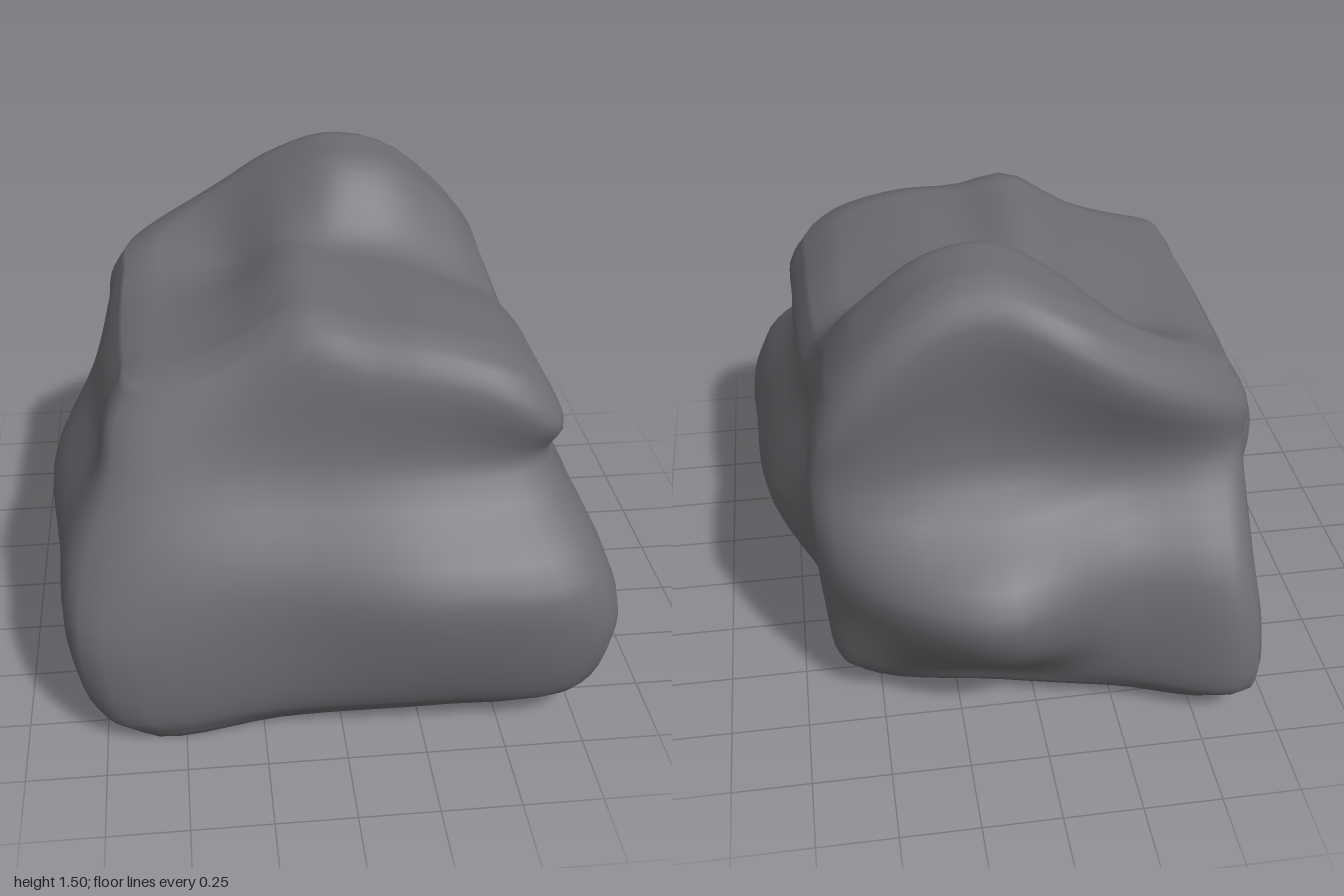
import * as THREE from 'three';
import { mergeVertices } from 'three/addons/utils/BufferGeometryUtils.js';

// Outlines as x,z pairs, running back-left corner > back > right > front > left
const BASE = [-.6, -.86, -.25, -.78, .1, -.7, .56, -.57, .56, -.32, .6, 0, .63, .45, .65, .82, .3, .85, -.2, .82, -.64, .82, -.72, .45, -.7, 0, -.63, -.42];
const FOOT = [-.67, -.94, -.25, -.82, .13, -.74, .62, -.62, .62, -.34, .72, 0, .78, .45, .77, .89, .3, .92, -.2, .88, -.75, .85, -.8, .45, -.77, 0, -.66, -.42];
const BELLY = [-.67, -.92, -.27, -.85, .15, -.95, .65, -.62, .67, -.36, .83, 0, .87, .4, .83, .92, .3, .98, -.18, .9, -.81, .84, -.87, .45, -.86, 0, -.71, -.42];
const LEDGE = [-.64, -.84, -.28, -.82, .17, -.99, .66, -.64, .68, -.36, .79, 0, .82, .4, .77, .9, .3, .97, -.16, .87, -.79, .76, -.87, .45, -.9, 0, -.73, -.42];
const WAIST = [-.65, -.62, -.25, -.64, .17, -.66, .67, -.6, .65, -.3, .69, 0, .69, .4, .64, .65, .3, .72, -.15, .69, -.69, .65, -.74, .4, -.77, 0, -.71, -.38];
const RIM = [-.67, -.59, -.2, -.72, .15, -.65, .64, -.62, .66, -.3, .69, 0, .7, .4, .67, .69, .3, .69, -.15, .61, -.67, .58, -.7, .35, -.71, 0, -.7, -.36];

// Height profiles across x (-0.7 to 0.7) of the front shelf and the back peak
const profile = (ys) => new THREE.SplineCurve(ys.map((y, i) => new THREE.Vector2(-.7 + i * .2, y)));
const shelf = profile([1.12, 1.14, 1.21, 1.33, 1.28, 1.26, 1.2, 1.1]);
const peak = profile([1.12, 1.2, 1.3, 1.42, 1.5, 1.46, 1.3, 1.1]);

const hollow = (x, z, cx, cz, r) => Math.exp(-((x - cx) ** 2 + (z - cz) ** 2) / (r * r));

function topHeight(x, z) {
  const u = THREE.MathUtils.clamp((x + .7) / 1.4, 0, 1);
  // the rise to the peak starts farther back on the left
  const start = .24 * (1 - THREE.MathUtils.smoothstep(x, -.4, .1));
  const s = THREE.MathUtils.smoothstep(-z, start, start + .35);
  const front = shelf.getPoint(u).y
    - .07 * hollow(x, z, -.25, -.2, .28) - .07 * hollow(x, z, .5, -.1, .25);
  return THREE.MathUtils.lerp(front, peak.getPoint(u).y, s);
}

// The front corner of the underside sags to the ground
function sag(x, y, z) {
  return y - .062 * hollow(x, z, -.6, .8, .55) * Math.max(0, 1 - (y - .06) / .5);
}

function loop(outline, count) {
  const pts = [];
  for (let i = 0; i < outline.length; i += 2) pts.push(new THREE.Vector3(outline[i], 0, outline[i + 1]));
  const curve = new THREE.CatmullRomCurve3(pts, true, 'centripetal');
  return Array.from({ length: count }, (_, i) => curve.getPoint(i / count));
}

function rockGeometry() {
  const N = 84, SIDE = 26;
  const levels = [[BASE, .06], [FOOT, .15], [BELLY, .38], [LEDGE, .58], [WAIST, .85]]
    .map(([o, y]) => loop(o, N).map((p) => p.setY(sag(p.x, y, p.z))));
  const rim = loop(RIM, N);
  const inset = (p, s, drop) => {
    const x = p.x * s, z = -.03 + (p.z + .03) * s;
    return new THREE.Vector3(x, topHeight(x, z) - drop, z);
  };
  const columns = [];
  for (let i = 0; i < N; i++) {
    const foot = levels[0][i];
    // underside, from its centre outward
    const col = [0, .35, .7, .93].map((s) =>
      new THREE.Vector3(foot.x * s, sag(foot.x * s, .06, foot.z * s), foot.z * s));
    // side wall, curved over the rim
    const side = new THREE.CatmullRomCurve3(
      [...levels.map((l) => l[i]), inset(rim[i], 1, .13), inset(rim[i], .91, .02)], false, 'centripetal');
    for (let k = 0; k <= SIDE; k++) col.push(side.getPoint(k / SIDE));
    // top surface, inward to its centre
    for (let k = 16; k >= 0; k--) col.push(inset(rim[i], k * .05, 0));
    columns.push(col);
  }
  const M = columns[0].length;
  const positions = columns.flat().flatMap((p) => p.toArray());
  const index = [];
  for (let i = 0; i < N; i++) {
    for (let j = 0; j < M - 1; j++) {
      const a = i * M + j, b = ((i + 1) % N) * M + j;
      // the first and last rows close to a point
      if (j > 0) index.push(a, a + 1, b);
      if (j < M - 2) index.push(b, a + 1, b + 1);
    }
  }
  let geo = new THREE.BufferGeometry();
  geo.setAttribute('position', new THREE.Float32BufferAttribute(positions, 3));
  geo.setIndex(index);
  geo = mergeVertices(geo, 1e-5);
  geo.computeVertexNormals();
  return geo;
}

export function createModel() {
  const stone = new THREE.MeshStandardMaterial({ color: 0x6d6c71 });
  stone.name = 'darkGreyStone';
  const boulder = new THREE.Mesh(rockGeometry(), stone);
  boulder.name = 'boulder';
  const group = new THREE.Group();
  group.name = 'rock';
  group.add(boulder);
  return group;
}
